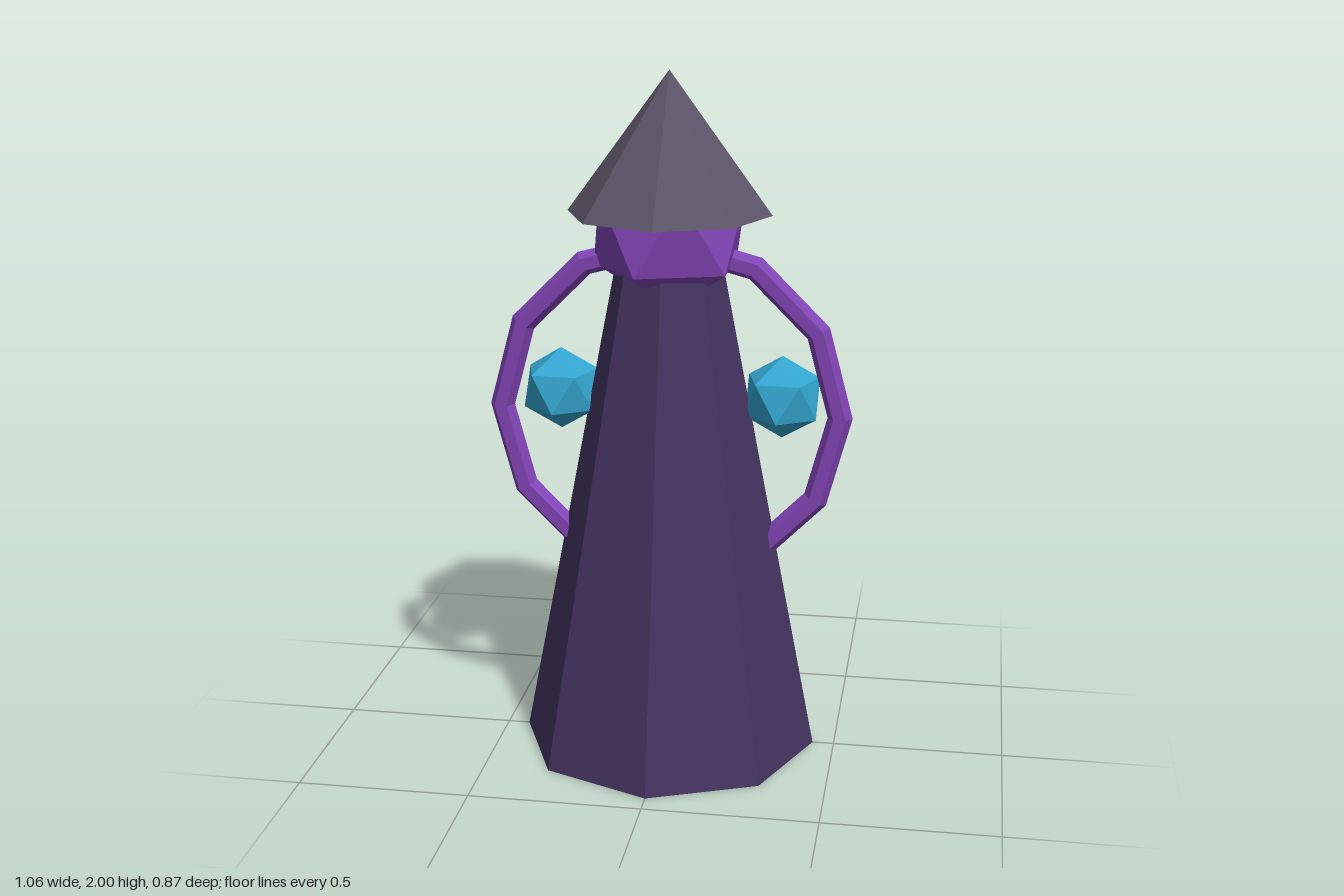
import * as THREE from 'three';

const paint = (color) => new THREE.MeshStandardMaterial({ color, flatShading: true });

export function createModel() {
  const group = new THREE.Group();
  const stone = paint(0x44345f);
  const slate = paint(0x5c5468);
  const violet = paint(0x8044b4);
  const cyan = paint(0x34a6d0);

  const add = (name, geometry, material, x, y, z) => {
    const mesh = new THREE.Mesh(geometry, material);
    mesh.name = name;
    mesh.position.set(x, y, z);
    group.add(mesh);
    return mesh;
  };

  // icosahedron standing on a vertex, with an upper-ring corner toward +x
  const upright = (radius) =>
    new THREE.IcosahedronGeometry(radius, 0).rotateZ(-Math.atan2(0.5257, 0.8507));

  // tapered octagonal tower
  add('towerBody', new THREE.CylinderGeometry(0.136, 0.437, 1.55, 8), stone, 0, 0.775, 0);

  // faceted crystal under the roof
  add('collarCrystal', upright(0.244), violet, 0, 1.56, 0);

  // pointed roof
  add('roof', new THREE.ConeGeometry(0.293, 0.4, 8), slate, 0, 1.8, 0);

  // ring passing through the tower, forming the side arms
  add('ringArms', new THREE.TorusGeometry(0.495, 0.036, 6, 12), violet, 0, 1.02, 0);

  // gems held inside the arms
  for (const side of [1, -1]) {
    const gem = add(side > 0 ? 'leftGem' : 'rightGem', upright(0.122), cyan, side * 0.325, 1.068, -0.03);
    gem.rotation.y = 0.25;
  }

  return group;
}
